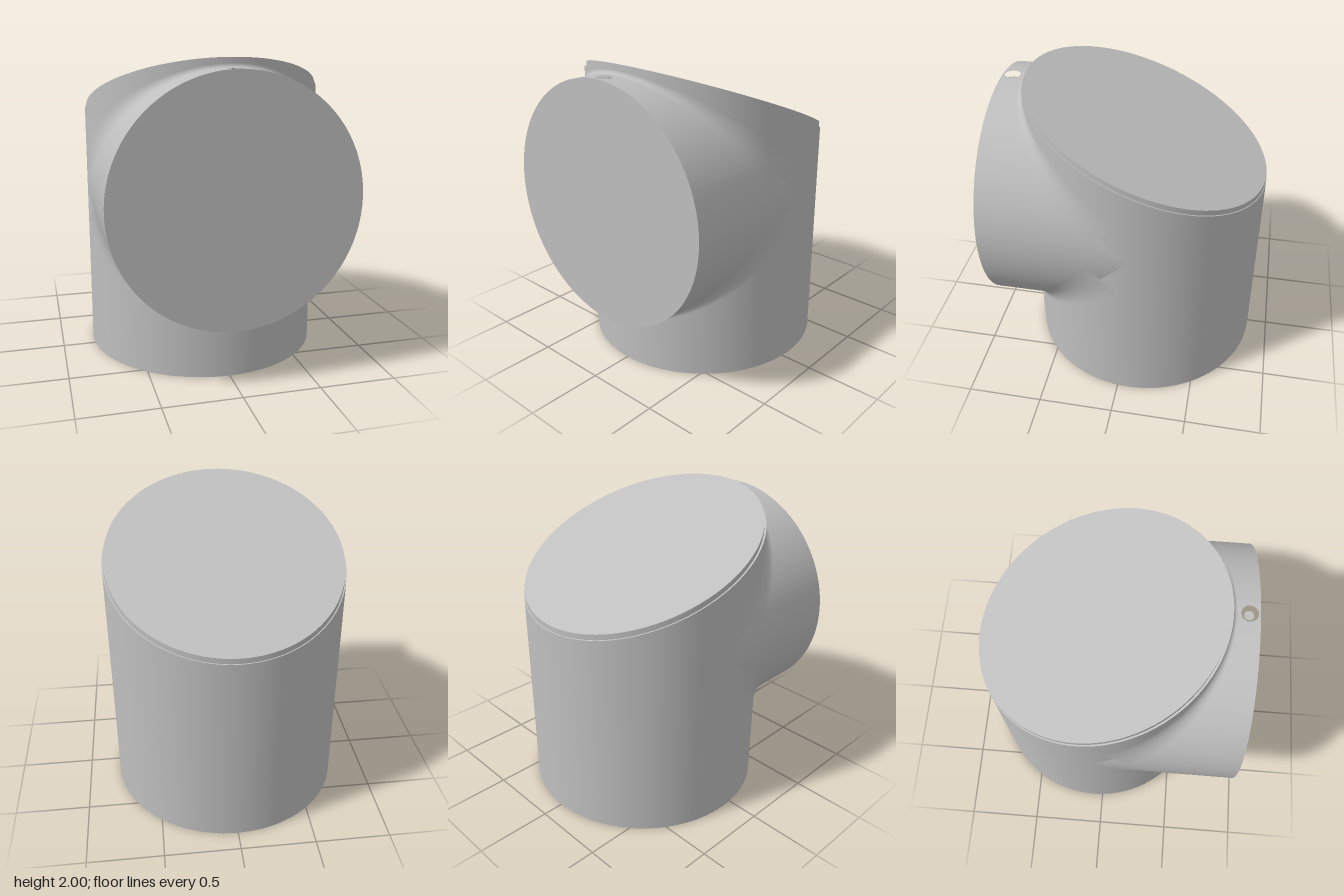
import * as THREE from 'three';

const R = 0.785;          // radius of both the body and the neck
const BODY_Z = -0.075;    // body axis
const NECK_Y = 1.155;     // neck axis
const NECK_FRONT = 0.868;
const SLOPE = 0.401;      // tilt of the lid

// Upright cylinder whose top (and optionally bottom) follows the tilted plane
function slantedCylinder(radius, zc, topAtAxis, thickness) {
  const g = new THREE.CylinderGeometry(radius, radius, 1, 96);
  const p = g.attributes.position, n = g.attributes.normal;
  const tilt = new THREE.Vector3(0, 1, -SLOPE).normalize();
  for (let i = 0; i < p.count; i++) {
    const top = topAtAxis + SLOPE * p.getZ(i);
    if (p.getY(i) > 0) p.setY(i, top);
    else p.setY(i, thickness ? top - thickness : 0);
    if (n.getY(i) > 0.5) n.setXYZ(i, tilt.x, tilt.y, tilt.z);
  }
  return g.translate(0, 0, zc);
}

// Surface sampled from f(u, v), facing along du x dv
function surface(f, nu, nv) {
  const pos = [], idx = [];
  for (let i = 0; i <= nu; i++)
    for (let j = 0; j <= nv; j++) pos.push(...f(i / nu, j / nv));
  for (let i = 0; i < nu; i++)
    for (let j = 0; j < nv; j++) {
      const a = i * (nv + 1) + j, b = a + nv + 1;
      idx.push(a, b, b + 1, a, b + 1, a + 1);
    }
  const g = new THREE.BufferGeometry();
  g.setAttribute('position', new THREE.Float32BufferAttribute(pos, 3));
  g.setIndex(idx);
  g.computeVertexNormals();
  return g;
}

// Rolling-ball blend between body and neck, widening toward the sides
function blend(side) {
  const limit = Math.acos(0.095);
  return surface((u, v) => {
    const phi = (u * 2 - 1) * limit, s = Math.sin(phi), c = Math.cos(phi);
    const t = side < 0 ? v : 1 - v;
    const r = 0.2 / c - 0.225 * R;
    const d = new THREE.Vector3(-s, -side * c * t, -c * (1 - t)).normalize();
    return [
      (R + r) * s + r * d.x,
      NECK_Y + side * (R + r) * c + r * d.y,
      BODY_Z + (R + r) * c + r * d.z,
    ];
  }, 72, 8);
}

export function createModel() {
  const model = new THREE.Group();
  const grey = new THREE.MeshStandardMaterial({ color: 0xbfbfbf });
  grey.name = 'grey';
  const add = (name, geometry) => {
    const mesh = new THREE.Mesh(geometry, grey);
    mesh.name = name;
    model.add(mesh);
    return mesh;
  };

  // Upright body and the slightly inset tilted lid
  add('body', slantedCylinder(R, BODY_Z, 1.655, 0));
  add('lid', slantedCylinder(0.775, -0.08, 1.689, 0.05));

  // Neck wall, mitred against the body, open at the top for the hole plate
  const half = 0.07, gap = Math.asin(half / R);
  add('neckWall', surface((u, v) => {
    const a = gap + v * (2 * Math.PI - 2 * gap);
    const back = BODY_Z + R * Math.abs(Math.cos(a));
    return [R * Math.sin(a), NECK_Y + R * Math.cos(a), back + u * (NECK_FRONT - back)];
  }, 1, 120));
  add('neckFace', new THREE.CircleGeometry(R, 120)).position.set(0, NECK_Y, NECK_FRONT);

  // Curved plate on top of the neck with a small hole
  const holeZ = 0.805, holeR = 0.052;
  const plate = new THREE.Shape([[-half, -NECK_FRONT], [0, -NECK_FRONT], [half, -NECK_FRONT],
    [half, -0.7], [0, -0.7], [-half, -0.7]].map(([x, w]) => new THREE.Vector2(x, w)));
  const ring = [];
  for (let i = 0; i < 10; i++) {
    const a = -i / 10 * Math.PI * 2;
    ring.push(new THREE.Vector2(holeR * Math.sin(a), -holeZ + holeR * Math.cos(a)));
  }
  plate.holes.push(new THREE.Path(ring));
  const plateGeo = new THREE.ShapeGeometry(plate);
  const p = plateGeo.attributes.position;
  for (let i = 0; i < p.count; i++) {
    const x = p.getX(i);
    p.setXYZ(i, x, NECK_Y + Math.sqrt(R * R - x * x), -p.getY(i));
  }
  plateGeo.computeVertexNormals();
  add('holePlate', plateGeo);

  // Countersunk hole: inward-facing cone and its floor
  const top = NECK_Y + R, depth = 0.03;
  const cone = surface((u, v) => {
    const a = v * Math.PI * 2, r = holeR + u * (0.03 - holeR);
    return [r * Math.sin(a), top - u * depth, holeZ + r * Math.cos(a)];
  }, 1, 10);
  add('holeCone', cone);
  const floor = new THREE.CircleGeometry(0.03, 10).rotateX(-Math.PI / 2);
  add('holeFloor', floor).position.set(0, top - depth, holeZ);

  // Blends above and below the neck
  add('lowerBlend', blend(-1));
  add('upperBlend', blend(1));

  return model;
}
